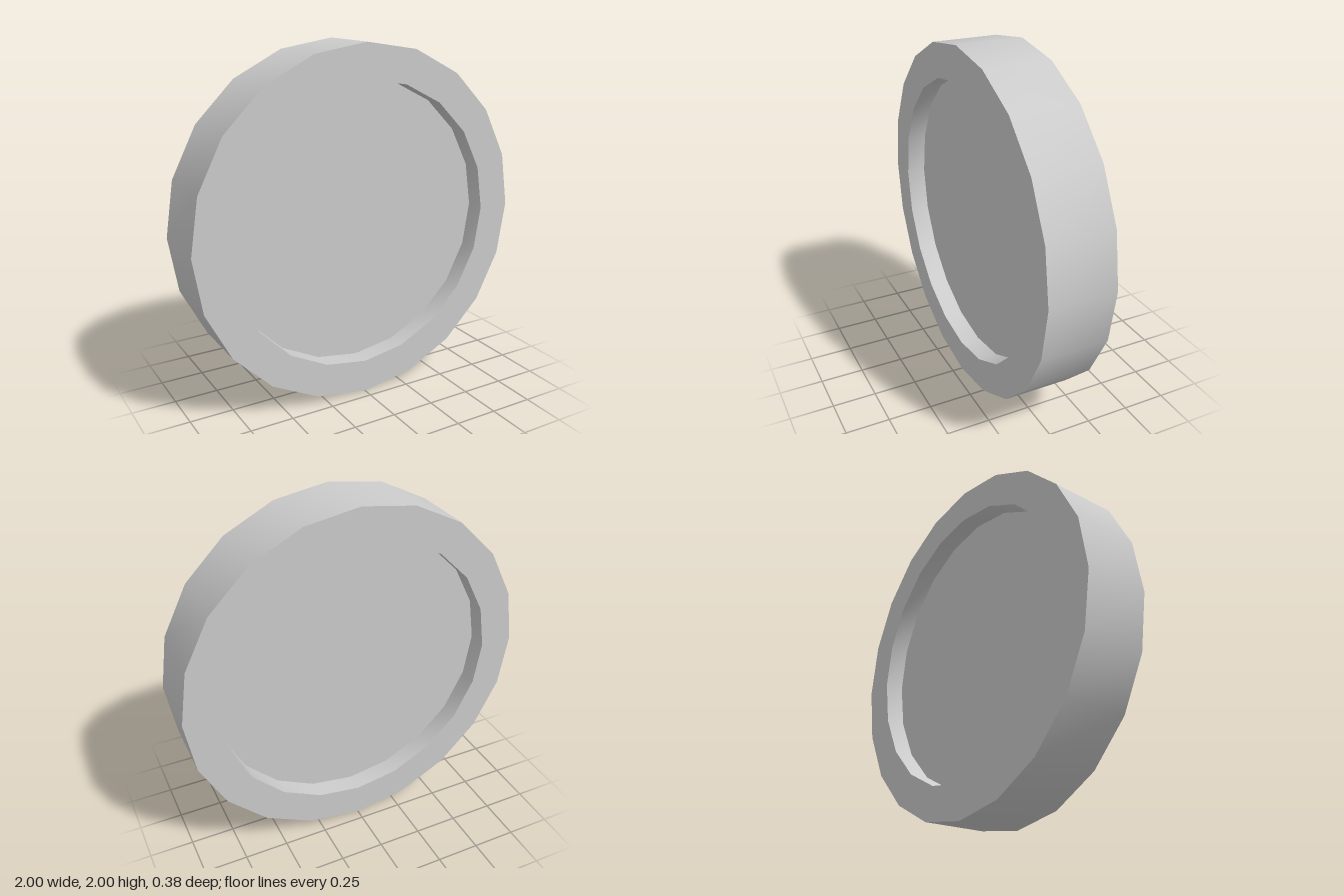
import * as THREE from 'three';
import { toCreasedNormals } from 'three/addons/utils/BufferGeometryUtils.js';

const SIDES = 20;
const RADIUS = 1;
const RECESS_RADIUS = 0.807;
const HALF_WIDTH = 0.19;
const RECESS_DEPTH = 0.11;

export function createModel() {
  const model = new THREE.Group();
  model.name = 'wheel';
  const material = new THREE.MeshStandardMaterial({ color: 0xcccccc });
  const floor = HALF_WIDTH - RECESS_DEPTH;

  // Rim: inner wall, flat face, outer tread, flat face, inner wall
  const profile = [
    [RECESS_RADIUS, -floor],
    [RECESS_RADIUS, -HALF_WIDTH],
    [RADIUS, -HALF_WIDTH],
    [RADIUS, HALF_WIDTH],
    [RECESS_RADIUS, HALF_WIDTH],
    [RECESS_RADIUS, floor],
  ].map(([r, y]) => new THREE.Vector2(r, y));
  const rimGeometry = new THREE.LatheGeometry(profile, SIDES).rotateX(Math.PI / 2);
  const rim = new THREE.Mesh(toCreasedNormals(rimGeometry, Math.PI / 6), material);
  rim.name = 'rim';
  rim.position.y = RADIUS;
  model.add(rim);

  // Recessed discs, front and back
  for (const side of [1, -1]) {
    const disc = new THREE.Mesh(new THREE.CircleGeometry(RECESS_RADIUS, SIDES), material);
    disc.name = side > 0 ? 'frontDisc' : 'backDisc';
    disc.position.set(0, RADIUS, side * floor);
    if (side < 0) disc.rotation.y = Math.PI;
    model.add(disc);
  }

  return model;
}
